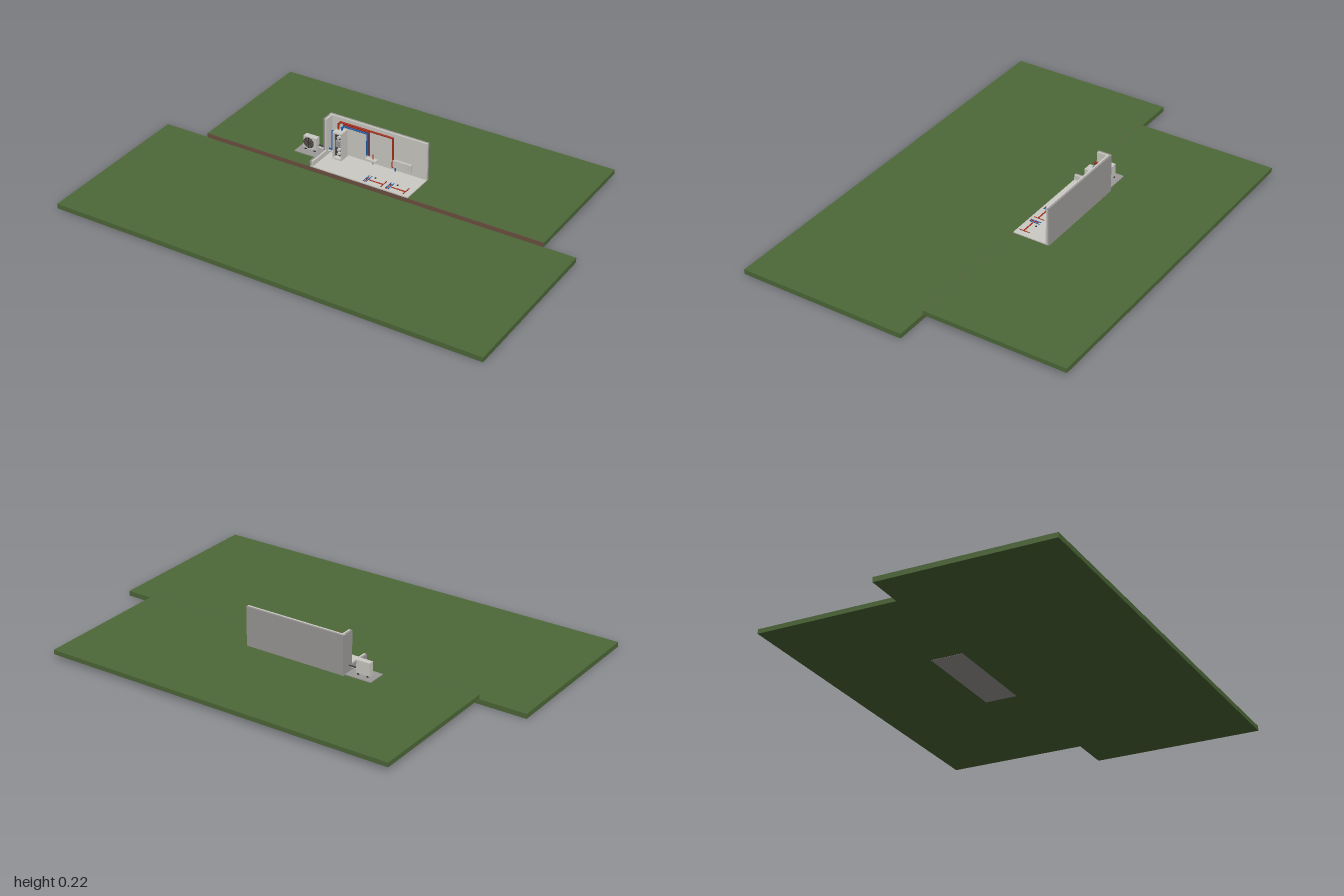
import * as THREE from 'three';

const mat = (name, color) => {
  const m = new THREE.MeshStandardMaterial({ color });
  m.name = name;
  return m;
};

export function createModel() {
  const grass = mat('grass', 0x4d6838);
  const soil = mat('soil', 0x6b5040);
  const plaster = mat('plaster', 0xcbcac4);
  const concrete = mat('concrete', 0x9c9a98);
  const dark = mat('darkMetal', 0x383838);
  const red = mat('hotPipeRed', 0xa82c18);
  const blue = mat('coldPipeBlue', 0x1f5fae);
  const fanBrown = mat('fanBrown', 0x66564c);

  const model = new THREE.Group();
  model.name = 'heatedRoomOnLawn';

  // Box given by its minimum and maximum corners
  const box = (name, m, x0, x1, y0, y1, z0, z1, parent = model) => {
    const mesh = new THREE.Mesh(new THREE.BoxGeometry(x1 - x0, y1 - y0, z1 - z0), m);
    mesh.position.set((x0 + x1) / 2, (y0 + y1) / 2, (z0 + z1) / 2);
    mesh.name = name;
    parent.add(mesh);
    return mesh;
  };
  // Pipe run with sharp bends
  const pipe = (name, m, r, pts, parent = model) => {
    const group = new THREE.Group();
    group.name = name;
    const up = new THREE.Vector3(0, 1, 0);
    for (let i = 1; i < pts.length; i++) {
      const a = new THREE.Vector3(...pts[i - 1]);
      const b = new THREE.Vector3(...pts[i]);
      const d = b.clone().sub(a);
      const mesh = new THREE.Mesh(new THREE.CylinderGeometry(r, r, d.length() + r, 10), m);
      mesh.position.copy(a).add(b).multiplyScalar(0.5);
      mesh.quaternion.setFromUnitVectors(up, d.normalize());
      mesh.name = name + 'Run';
      group.add(mesh);
    }
    parent.add(group);
  };
  const disc = (name, m, r, depth, x, y, z) => {
    const mesh = new THREE.Mesh(new THREE.CylinderGeometry(r, r, depth, 24), m);
    mesh.rotation.x = Math.PI / 2;
    mesh.position.set(x, y, z);
    mesh.name = name;
    model.add(mesh);
  };

  // Two lawn terraces with an earth edge on the upper one
  box('lowerLawn', grass, -1, 1, 0, 0.022, -0.057, 0.713);
  box('upperLawn', grass, -0.785, 0.855, 0.022, 0.042, -0.713, -0.058);
  box('earthEdge', soil, -0.785, 0.855, 0.022, 0.0415, -0.058, -0.056);

  // Foundation, floor and two-layer back wall
  box('foundation', concrete, -0.255, 0.225, 0.0212, 0.043, -0.225, -0.062);
  box('floor', plaster, -0.255, 0.225, 0.042, 0.047, -0.228, -0.0575);
  box('backWallOuter', concrete, -0.255, 0.225, 0.043, 0.222, -0.23, -0.222);
  box('backWallInner', plaster, -0.255, 0.225, 0.043, 0.222, -0.222, -0.214);

  // Cut-away side wall: tall at the back, low at the front
  box('sideWallTallOuter', concrete, -0.256, -0.248, 0.043, 0.222, -0.228, -0.167);
  box('sideWallTallInner', plaster, -0.248, -0.24, 0.043, 0.222, -0.222, -0.167);
  box('sideWallLowOuter', concrete, -0.256, -0.248, 0.043, 0.07, -0.167, -0.058);
  box('sideWallLowInner', plaster, -0.248, -0.24, 0.043, 0.07, -0.167, -0.058);

  // Outdoor heat pump on its pad
  box('outdoorPad', concrete, -0.38, -0.255, 0.041, 0.046, -0.218, -0.13);
  for (const x of [-0.35, -0.305]) box('pumpFoot', dark, x, x + 0.008, 0.045, 0.052, -0.193, -0.162);
  box('pumpCasing', plaster, -0.356, -0.292, 0.051, 0.11, -0.191, -0.165);
  disc('fanOpening', fanBrown, 0.024, 0.003, -0.329, 0.082, -0.164);
  const ring = new THREE.Mesh(new THREE.TorusGeometry(0.024, 0.0015, 8, 28), dark);
  ring.position.set(-0.329, 0.082, -0.163);
  ring.name = 'fanRing';
  model.add(ring);
  disc('fanHub', dark, 0.006, 0.005, -0.329, 0.082, -0.163);
  for (let i = 0; i < 4; i++) {
    const blade = box('fanBlade', dark, -0.3305, -0.3275, 0.06, 0.104, -0.1625, -0.1615);
    blade.rotation.z = i * Math.PI / 4;
  }

  // Pipes from the heat pump through the side wall
  pipe('pumpFeed', dark, 0.003, [[-0.295, 0.072, -0.186], [-0.232, 0.072, -0.186]]);
  pipe('pumpReturn', plaster, 0.003, [[-0.295, 0.064, -0.18], [-0.22, 0.064, -0.18]]);
  pipe('supplyRiser', blue, 0.0035, [[-0.235, 0.072, -0.186], [-0.223, 0.072, -0.186],
    [-0.223, 0.163, -0.186], [-0.2, 0.163, -0.186]]);

  // Indoor unit: open frame with tank and valves
  box('indoorUnitBack', plaster, -0.204, -0.16, 0.047, 0.178, -0.206, -0.182);
  box('indoorUnitTop', plaster, -0.204, -0.16, 0.172, 0.178, -0.182, -0.156);
  box('indoorUnitBase', plaster, -0.204, -0.16, 0.047, 0.054, -0.182, -0.156);
  for (const x of [-0.204, -0.163]) box('indoorUnitSide', plaster, x, x + 0.003, 0.054, 0.172, -0.182, -0.156);
  box('indoorUnitInterior', dark, -0.201, -0.163, 0.054, 0.172, -0.182, -0.178);
  box('unitTank', concrete, -0.193, -0.172, 0.105, 0.135, -0.178, -0.162);
  for (const y of [0.07, 0.09, 0.15]) disc('unitValve', plaster, 0.007, 0.012, -0.182, y, -0.172);
  pipe('unitHotPipe', red, 0.002, [[-0.196, 0.06, -0.168], [-0.196, 0.172, -0.168]]);
  pipe('unitColdPipe', blue, 0.002, [[-0.168, 0.06, -0.168], [-0.168, 0.172, -0.168]]);

  // Wall pipes: hot main and branches, cold main
  const z = -0.207;
  pipe('hotMain', red, 0.0045, [[-0.194, 0.178, -0.19], [-0.194, 0.204, -0.19],
    [-0.194, 0.204, z], [0.064, 0.204, z], [0.064, 0.065, z]]);
  pipe('coldMain', blue, 0.0045, [[-0.178, 0.178, -0.19], [-0.178, 0.188, -0.19],
    [-0.178, 0.188, z], [-0.062, 0.188, z], [-0.062, 0.085, z]]);
  pipe('hotTapBranch', red, 0.0035, [[-0.18, 0.196, z], [-0.052, 0.196, z], [-0.052, 0.085, z]]);

  // Wash basin and tap
  box('basin', plaster, -0.064, -0.012, 0.064, 0.072, -0.214, -0.192);
  pipe('basinDrain', concrete, 0.003, [[-0.034, 0.047, -0.205], [-0.034, 0.065, -0.205]]);
  pipe('tap', red, 0.0025, [[-0.034, 0.072, -0.207], [-0.034, 0.092, -0.207]]);

  // Radiator with ribs
  box('radiator', plaster, 0.066, 0.156, 0.066, 0.101, -0.212, -0.203);
  for (let i = 0; i < 9; i++) {
    const x = 0.07 + i * 0.0095;
    box('radiatorRib', plaster, x, x + 0.006, 0.069, 0.098, -0.203, -0.2015);
  }
  pipe('radiatorReturn', blue, 0.003, [[0.076, 0.066, z], [0.076, 0.047, z]]);

  // Two underfloor heating loops set into the floor
  for (const x of [0.002, 0.11]) {
    const loop = new THREE.Group();
    loop.name = 'underfloorLoop';
    const y = 0.0475;
    [0, 0.013].forEach((d) => pipe('coldLoop', blue, 0.002, [[x + d, y, -0.118], [x + d, y, -0.07]], loop));
    pipe('hotLoop', red, 0.002, [[x + 0.006, y, -0.108], [x + 0.006, y, -0.07]], loop);
    pipe('hotLoop', red, 0.003, [[x + 0.02, y, -0.089], [x + 0.083, y, -0.089]], loop);
    pipe('hotLoop', red, 0.002, [[x + 0.086, y, -0.118], [x + 0.086, y, -0.07]], loop);
    box('loopJoint', dark, x + 0.03, x + 0.036, 0.047, 0.05, -0.118, -0.112, loop);
    model.add(loop);
  }
  return model;
}
